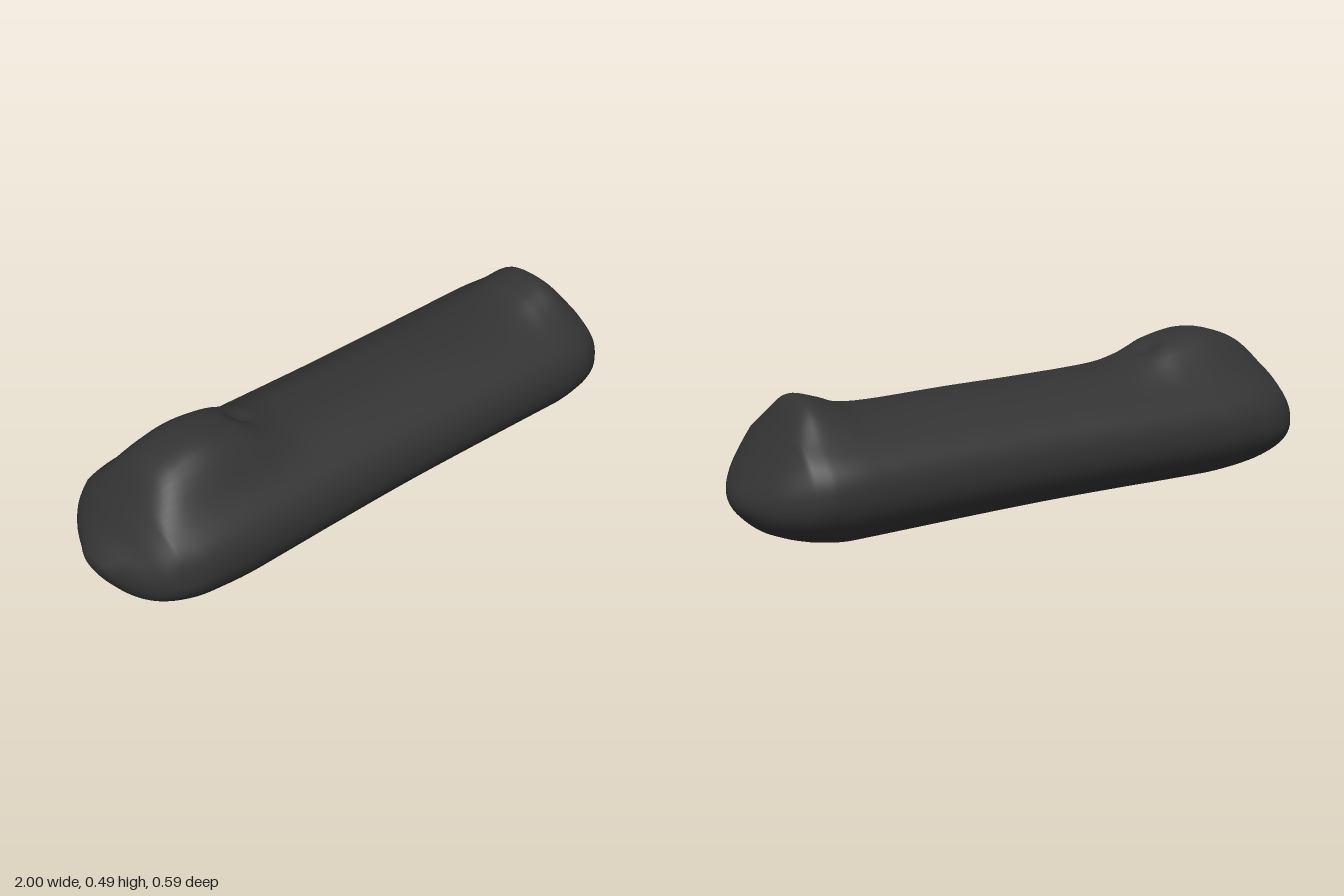
import * as THREE from 'three';

// Stations along the body: x, bottom, top, height of widest line, half width
const stations = [
  [-1, 0.19, 0.19, 0.19, 0], [-0.995, 0.165, 0.21, 0.19, 0.045], [-0.97, 0.12, 0.24, 0.185, 0.10],
  [-0.93, 0.075, 0.28, 0.18, 0.18], [-0.88, 0.05, 0.345, 0.185, 0.238], [-0.8, 0.027, 0.44, 0.19, 0.273],
  [-0.72, 0.012, 0.48, 0.2, 0.285], [-0.62, 0.005, 0.495, 0.2, 0.29], [-0.5, 0.005, 0.475, 0.2, 0.288],
  [-0.4, 0.006, 0.432, 0.2, 0.286], [-0.28, 0.008, 0.408, 0.2, 0.284], [0, 0.01, 0.4, 0.2, 0.281],
  [0.25, 0.008, 0.398, 0.2, 0.284], [0.5, 0.004, 0.391, 0.2, 0.289], [0.63, 0.002, 0.4, 0.2, 0.292],
  [0.71, 0.002, 0.428, 0.2, 0.293], [0.78, 0.012, 0.447, 0.2, 0.286], [0.82, 0.022, 0.425, 0.195, 0.276],
  [0.87, 0.038, 0.36, 0.185, 0.25], [0.93, 0.065, 0.28, 0.175, 0.192], [0.975, 0.105, 0.22, 0.165, 0.115],
  [0.995, 0.135, 0.185, 0.16, 0.05], [1, 0.16, 0.16, 0.16, 0],
];

function bodyGeometry(rings = 176, sides = 80) {
  const heights = new THREE.CatmullRomCurve3(
    stations.map((s) => new THREE.Vector3(s[0], s[1], s[2])), false, 'catmullrom', 0.5);
  const widths = new THREE.CatmullRomCurve3(
    stations.map((s) => new THREE.Vector3(s[0], s[3], s[4])), false, 'catmullrom', 0.5);
  const pos = [], index = [];
  for (let i = 0; i <= rings; i++) {
    const h = heights.getPoint(i / rings), w = widths.getPoint(i / rings);
    const x = h.x, bottom = h.y, top = h.z, mid = w.y, half = Math.max(0, w.z);
    // broad shoulder height; anything above it is a narrower raised hump
    const shoulder = Math.min(top, 0.38);
    for (let j = 0; j < sides; j++) {
      const a = (j / sides) * Math.PI * 2;
      const s = Math.sin(a), z = half * Math.cos(a);
      let y = mid + (mid - bottom) * s;
      if (s > 0) {
        y = mid + (shoulder - mid) * Math.pow(s, 0.85);
        y += (top - shoulder) * Math.exp(-Math.pow(z / 0.16, 4));
        // small dimple at the end of the large hump
        y -= 0.02 * Math.exp(-((x + 0.45) ** 2 + (z + 0.01) ** 2) / 0.0012);
      }
      pos.push(x, y, z);
      if (i < rings) {
        const n = (j + 1) % sides, p = i * sides, q = p + sides;
        index.push(p + j, q + j, p + n, q + j, q + n, p + n);
      }
    }
  }
  const geo = new THREE.BufferGeometry();
  geo.setAttribute('position', new THREE.Float32BufferAttribute(pos, 3));
  geo.setIndex(index);
  geo.computeVertexNormals();
  return geo;
}

export function createModel() {
  const group = new THREE.Group();
  const body = new THREE.Mesh(bodyGeometry(), new THREE.MeshStandardMaterial({ color: 0x333333 }));
  body.name = 'softBody';
  group.add(body);
  return group;
}
